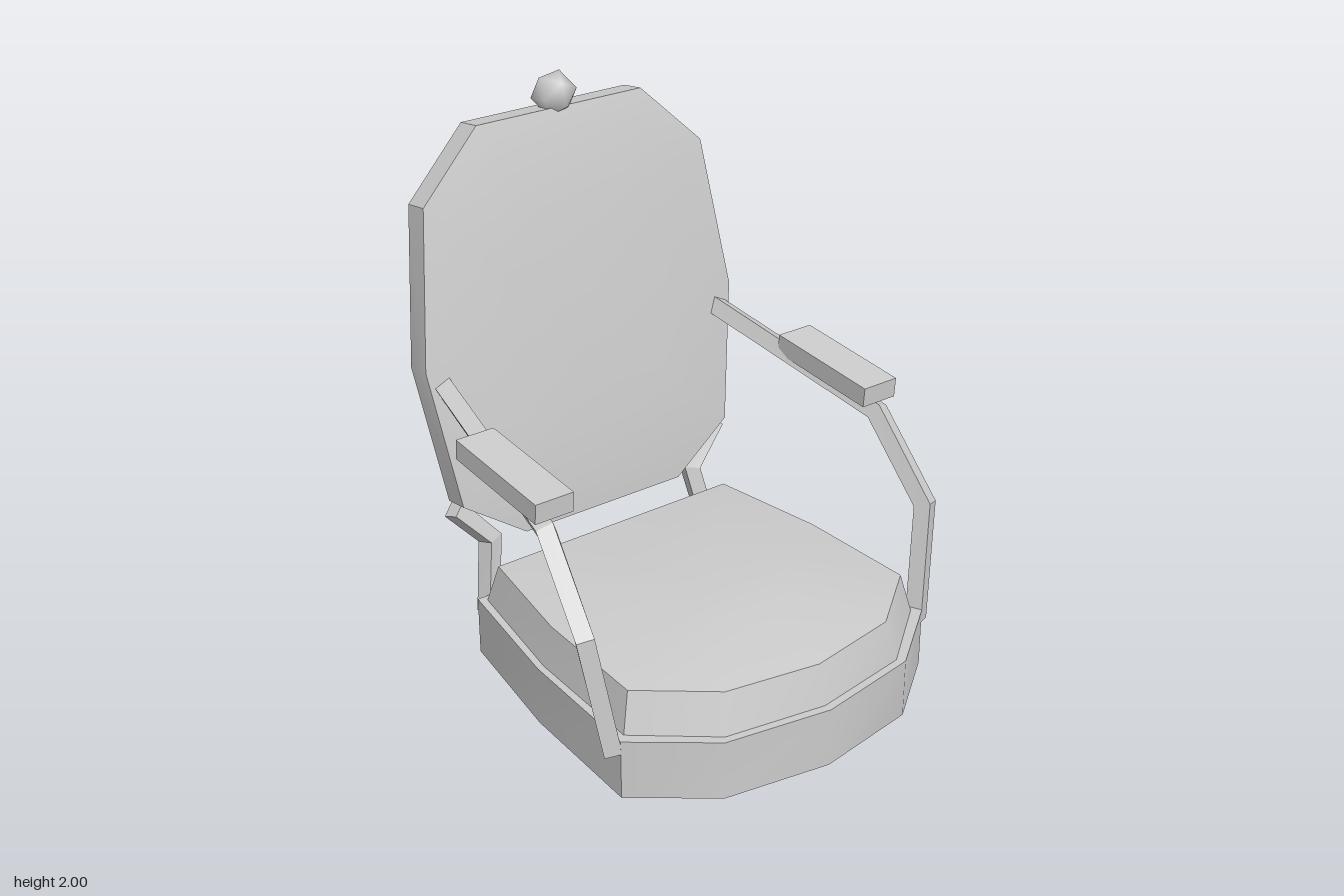
import * as THREE from 'three';
import { mergeVertices, toCreasedNormals } from 'three/addons/utils/BufferGeometryUtils.js';

const grey = new THREE.MeshStandardMaterial({ color: 0xcccccc });
grey.name = 'light grey';

const V = (x, y, z) => new THREE.Vector3(x, y, z);

// Complete a half outline (given on +x) with its mirror image
const mirror = (half) => half.concat(
  half.filter(([x]) => x > 0).reverse().map(([x, v]) => [-x, v]));

// Skin rings that run counter-clockwise about the stacking direction, with both ends closed
function loft(rings, crease = 0.6) {
  const n = rings[0].length;
  const last = (rings.length - 1) * n;
  const points = rings.flat();
  const middle = (ring) => ring.reduce((s, p) => s.add(p), V(0, 0, 0)).divideScalar(n);
  const start = points.length;
  points.push(middle(rings[0]), middle(rings[rings.length - 1]));
  const index = [];
  for (let i = 0; i < n; i++) {
    const j = (i + 1) % n;
    for (let k = 0; k < last; k += n) {
      index.push(k + i, k + j, k + n + j, k + i, k + n + j, k + n + i);
    }
    index.push(start, j, i, start + 1, last + i, last + j);
  }
  const geometry = new THREE.BufferGeometry().setFromPoints(points);
  geometry.setIndex(index);
  return toCreasedNormals(geometry, crease);
}

// Square bar along a path with mitred bends, rolled about its own axis
function bar(path, size, roll) {
  const dirs = path.slice(1).map((p, i) => p.clone().sub(path[i]).normalize());
  const rings = path.map((p, i) => {
    const before = dirs[Math.max(i - 1, 0)];
    const after = dirs[Math.min(i, dirs.length - 1)];
    const t = before.clone().add(after).normalize();
    const side = V(1, 0, 0).addScaledVector(t, -t.x).normalize();
    const normal = side.clone().cross(t);
    const stretch = 1 / t.dot(after);
    return [[1, 1], [-1, 1], [-1, -1], [1, -1]].map(([a, b]) => {
      const u = (a * Math.cos(roll) - b * Math.sin(roll)) * size / 2;
      const v = (a * Math.sin(roll) + b * Math.cos(roll)) * size / 2;
      return p.clone().addScaledVector(normal, u * stretch).addScaledVector(side, v);
    });
  });
  return loft(rings, 0.2);
}

export function createModel() {
  const chair = new THREE.Group();
  chair.name = 'armchair';
  const add = (name, geometry) => {
    const mesh = new THREE.Mesh(geometry, grey);
    mesh.name = name;
    chair.add(mesh);
    return mesh;
  };
  const level = (outline, y) => outline.map(([x, z]) => V(x, y, z));

  // Seat base, bowed at the front
  const base = mirror([[0, 0.81], [0.39, 0.745], [0.655, 0.54], [0.635, 0.03], [0.56, -0.47]]);
  add('seatBase', loft([level(base, 0), level(base, 0.22)]));

  // Seat cushion with sloping sides and a low crown
  const foot = mirror([[0, 0.78], [0.37, 0.72], [0.625, 0.515], [0.61, 0.03], [0.535, -0.445]]);
  const rim = mirror([[0, 0.745], [0.345, 0.685], [0.59, 0.49], [0.575, 0.03], [0.505, -0.41]]);
  const crown = rim.map(([x, z]) => [x * 0.42, 0.17 + (z - 0.17) * 0.45]);
  add('seatCushion', loft([level(foot, 0.22), level(rim, 0.365), level(crown, 0.41)]));

  // Reclined backrest with a softly padded front
  const tilt = 0.149;
  const panel = mirror([[0.34, 0.42], [0.58, 0.587], [0.655, 1.1], [0.58, 1.655], [0.34, 1.885]]);
  const slice = ([scale, z]) => panel.map(([x, y]) =>
    V(x * scale, (y - 1.15) / Math.cos(tilt) * scale, z));
  const back = add('backrest',
    loft([[1, -0.1], [1, 0], [0.86, 0.014], [0.53, 0.03]].map(slice)));
  back.position.set(0, 1.15, -0.585);
  back.rotation.x = -tilt;

  // Faceted finial with smooth shading
  let ball = new THREE.IcosahedronGeometry(0.082, 0);
  ball.deleteAttribute('normal');
  ball.deleteAttribute('uv');
  ball = mergeVertices(ball);
  ball.computeVertexNormals();
  const finial = add('finial', ball);
  finial.position.set(0, 1.922, -0.735);
  finial.rotation.set(-tilt, 0, 0.15);

  // Arms, arm pads and rear supports on both sides
  for (const [s, side] of [[1, 'left'], [-1, 'right']]) {
    add(side + 'Arm', bar([
      V(s * 0.662, 0.165, 0.503), V(s * 0.725, 0.59, 0.452),
      V(s * 0.7, 0.865, 0.212), V(s * 0.585, 1.03, -0.58),
    ], 0.06, s * 0.5));

    const pad = add(side + 'ArmPad', new THREE.BoxGeometry(0.145, 0.073, 0.47));
    pad.position.set(s * 0.683, 0.97, 0.005);
    pad.rotation.x = 0.075;

    add(side + 'RearSupport', bar([
      V(s * 0.58, 0.55, -0.57), V(s * 0.45, 0.4, -0.55), V(s * 0.5, 0.14, -0.495),
    ], 0.06, s * 0.3));
  }
  return chair;
}
